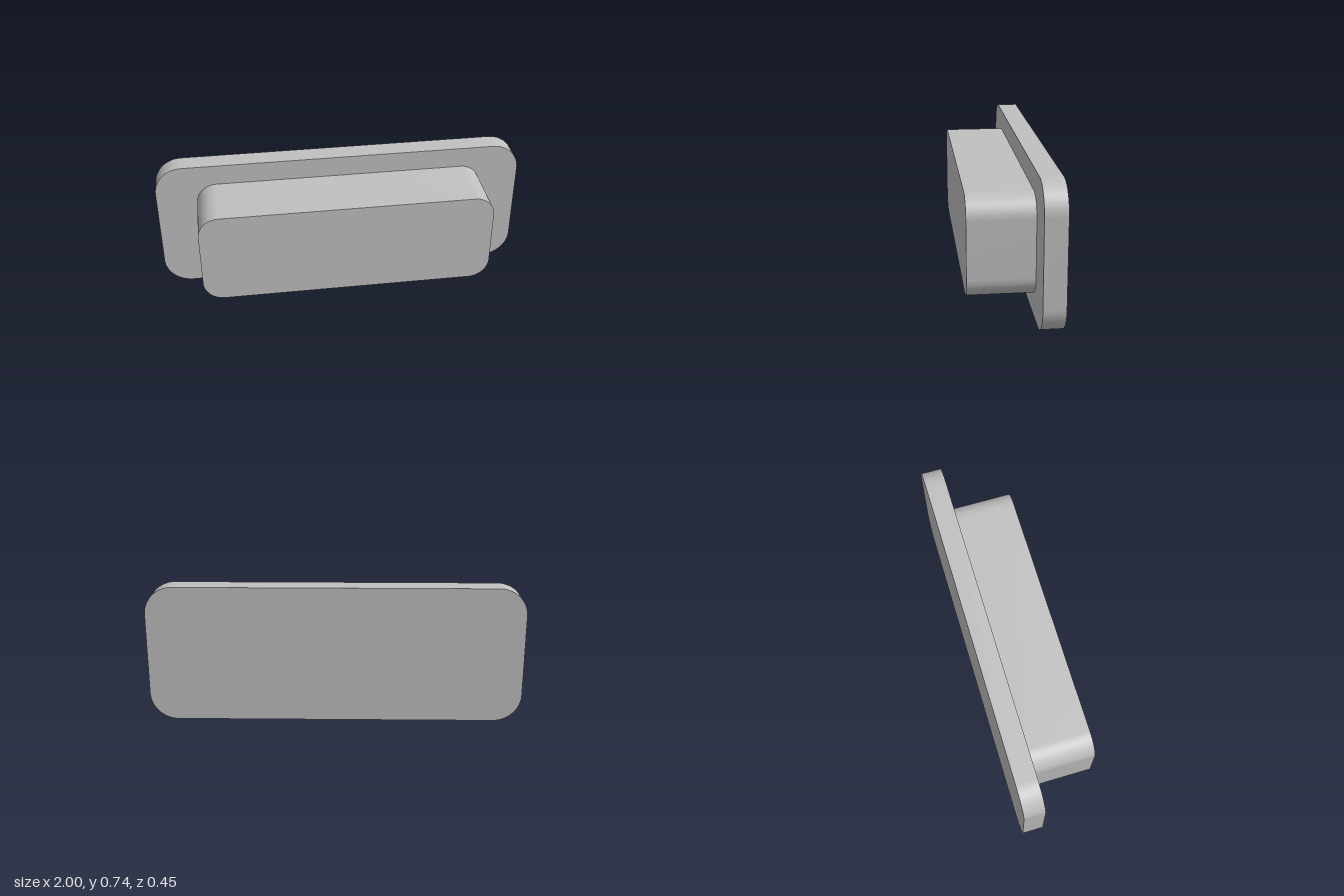
import * as THREE from 'three';
import { toCreasedNormals } from 'three/addons/utils/BufferGeometryUtils.js';

// Rectangle with rounded corners, centred on the origin
function roundedRect(w, h, r) {
  const x = w / 2, y = h / 2, q = Math.PI / 2;
  const s = new THREE.Shape();
  s.moveTo(-x + r, -y);
  s.lineTo(x - r, -y);
  s.absarc(x - r, -y + r, r, -q, 0);
  s.lineTo(x, y - r);
  s.absarc(x - r, y - r, r, 0, q);
  s.lineTo(-x + r, y);
  s.absarc(-x + r, y - r, r, q, 2 * q);
  s.lineTo(-x, -y + r);
  s.absarc(-x + r, -y + r, r, 2 * q, 3 * q);
  return s;
}

export function createModel() {
  const group = new THREE.Group();
  const grey = new THREE.MeshStandardMaterial({ color: 0xc0c0c0 });
  grey.name = 'grey';

  // Slab with smooth corners and sharp rims, from z = back to z = front
  function slab(name, w, h, r, back, front) {
    const geo = new THREE.ExtrudeGeometry(roundedRect(w, h, r), {
      depth: front - back, bevelEnabled: false, curveSegments: 20,
    });
    const mesh = new THREE.Mesh(toCreasedNormals(geo, Math.PI / 6), grey);
    mesh.name = name;
    mesh.position.set(0, 0.371, back);
    group.add(mesh);
  }

  slab('backPlate', 2, 0.742, 0.15, -0.223, -0.111); // wide flange
  slab('frontBlock', 1.566, 0.516, 0.11, -0.111, 0.223); // protruding plug
  return group;
}
